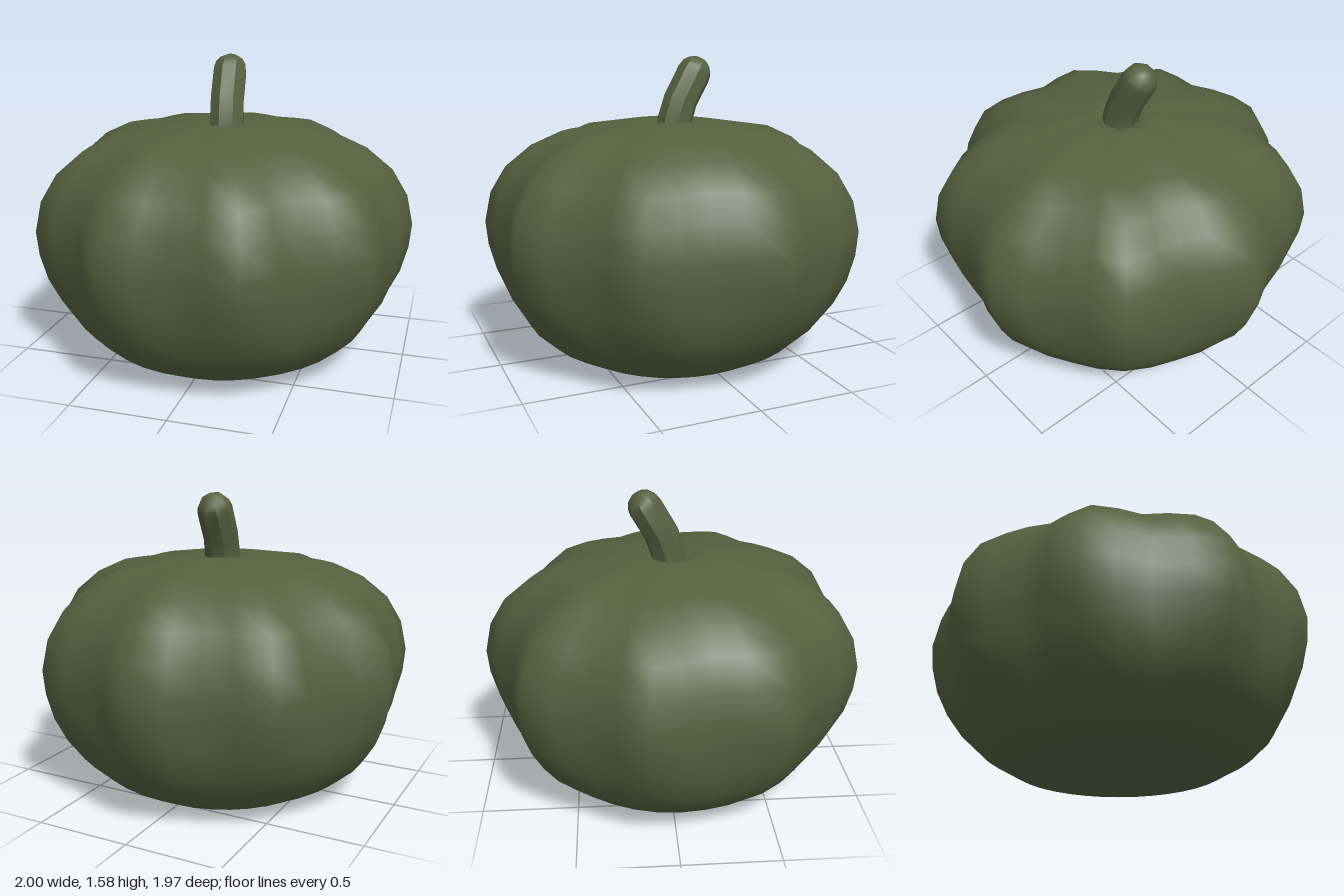
import * as THREE from 'three';
import { mergeVertices, toCreasedNormals } from 'three/addons/utils/BufferGeometryUtils.js';

const LOBES = 9;
const darkGreen = new THREE.MeshStandardMaterial({ color: 0x56603f });
darkGreen.name = 'darkGreen';

// Ribbed body: a lathe whose rings are pulled in between the lobes
function bodyGeometry() {
  const profile = [
    [0, 0], [0.3, 0], [0.545, 0], [0.7, 0.085], [0.815, 0.185], [0.9, 0.3], [0.965, 0.43],
    [1.003, 0.57], [1.015, 0.7], [0.98, 0.86], [0.895, 1.0],
    [0.755, 1.115], [0.59, 1.19], [0.2, 1.25], [0.1, 1.215], [0, 1.2],
  ].map(([r, y]) => new THREE.Vector2(r, y));
  let geo = new THREE.LatheGeometry(profile, LOBES * 4);
  const p = geo.attributes.position;
  for (let i = 0; i < p.count; i++) {
    const x = p.getX(i), y = p.getY(i), z = p.getZ(i);
    const valley = (1 + Math.cos(LOBES * Math.atan2(x, z))) / 2;
    // grooves fade out toward the round base
    const k = 1 - 0.113 * THREE.MathUtils.smoothstep(y, 0, 0.65) * valley;
    p.setXYZ(i, x * k, y, z * k);
  }
  geo.deleteAttribute('uv');
  geo.deleteAttribute('normal');
  geo = mergeVertices(geo, 1e-4);
  geo.computeVertexNormals();
  return geo;
}

// Eight-sided stem leaning backward, with a rounded tip
function stemGeometry() {
  const sides = 8, lean = 0.52, tipRadius = 0.093;
  // x, y, z, radius, backward tilt
  const rings = [
    [0.01, 1.12, 0.03, 0.1, 0.15],
    [0.008, 1.25, 0.01, 0.095, 0.2],
    [0, 1.35, -0.025, 0.093, 0.38],
    [-0.008, 1.49, -0.106, tipRadius, lean],
  ];
  for (const a of [0.4, 0.8, 1.2, Math.PI / 2]) {
    const d = Math.sin(a) * tipRadius;
    rings.push([-0.008, 1.49 + d * Math.cos(lean), -0.106 - d * Math.sin(lean),
      Math.max(Math.cos(a) * tipRadius, 0), lean]);
  }
  const pos = [], index = [];
  rings.forEach(([x, y, z, r, tilt], j) => {
    for (let i = 0; i < sides; i++) {
      const a = ((i + 0.75) / sides) * Math.PI * 2;
      const s = Math.sin(a) * r, c = Math.cos(a) * r;
      pos.push(x + s, y + c * Math.sin(tilt), z + c * Math.cos(tilt));
      if (j === 0) continue;
      const n = (i + 1) % sides, lo = (j - 1) * sides, hi = j * sides;
      index.push(lo + i, lo + n, hi + n);
      if (j < rings.length - 1) index.push(lo + i, hi + n, hi + i);
    }
  });
  const geo = new THREE.BufferGeometry();
  geo.setAttribute('position', new THREE.Float32BufferAttribute(pos, 3));
  geo.setIndex(index);
  return toCreasedNormals(geo, 0.7);
}

export function createModel() {
  const group = new THREE.Group();
  group.name = 'pumpkin';

  const body = new THREE.Mesh(bodyGeometry(), darkGreen);
  body.name = 'body';
  body.position.z = 0.03;
  group.add(body);

  const stem = new THREE.Mesh(stemGeometry(), darkGreen);
  stem.name = 'stem';
  group.add(stem);

  return group;
}
